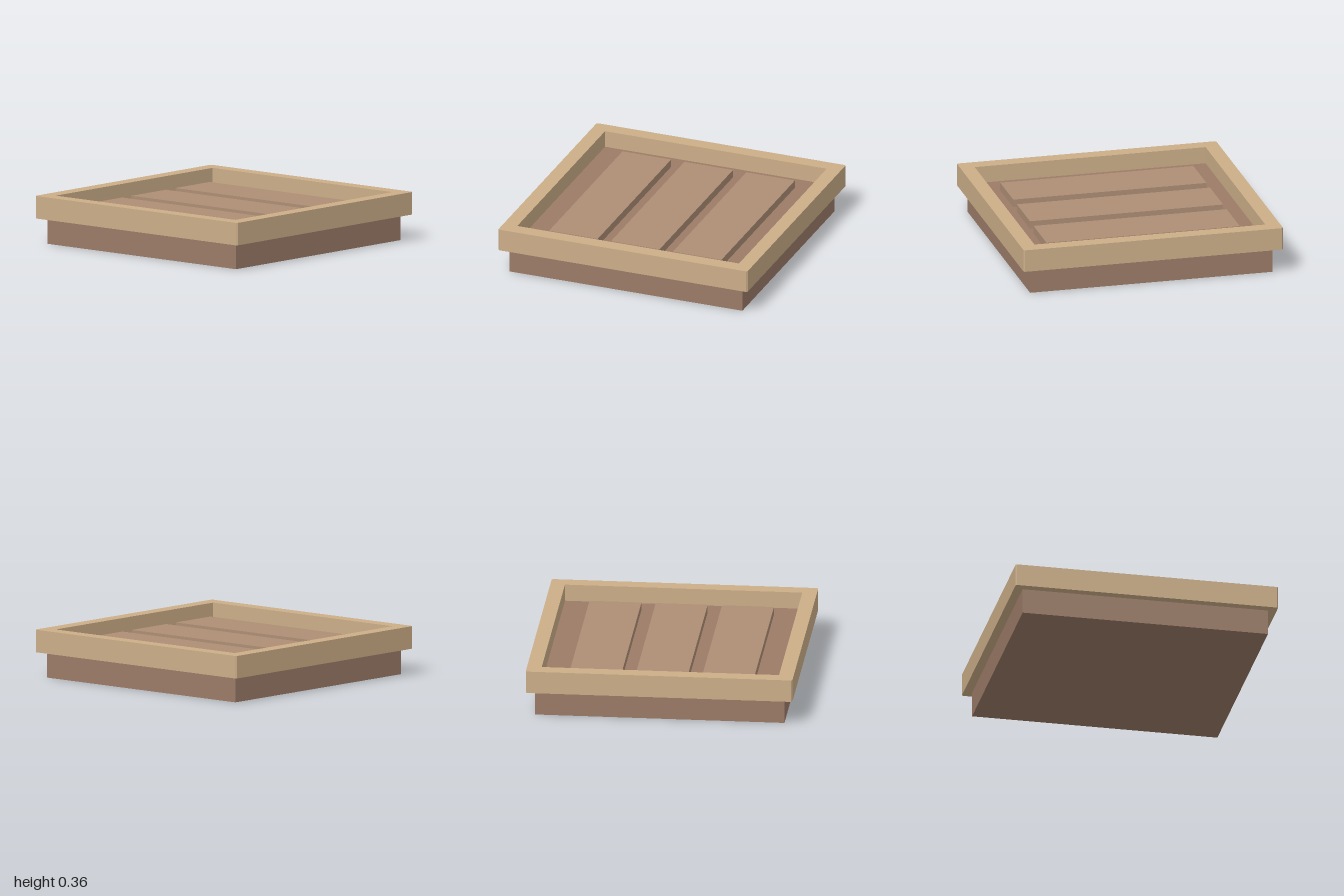
import * as THREE from 'three';

const material = (color) => new THREE.MeshStandardMaterial({ color, flatShading: true });

function addBox(group, name, mat, [w, h, d], [x, y, z]) {
  const mesh = new THREE.Mesh(new THREE.BoxGeometry(w, h, d), mat);
  mesh.name = name;
  mesh.position.set(x, y, z);
  group.add(mesh);
}

export function createModel() {
  const group = new THREE.Group();
  group.name = 'framedTray';
  const base = material(0x9b7b67);
  const slat = material(0xae8e75);
  const wood = material(0xccae88);

  // Solid base; its top is the recessed floor inside the frame
  addBox(group, 'base', base, [1.87, 0.235, 1.87], [0, 0.1175, 0]);

  // Three raised slats running front to back
  for (const i of [-1, 0, 1]) {
    addBox(group, 'slat', slat, [0.39, 0.08, 1.49], [i * 0.497, 0.255, 0]);
  }

  // Square rim with slightly clipped corners and a square opening
  const c = 0.99, r = 0.89;
  const outline = new THREE.Shape([
    [-c, -1], [c, -1], [1, -c], [1, c], [c, 1], [-c, 1], [-1, c], [-1, -c],
  ].map(([x, y]) => new THREE.Vector2(x, y)));
  outline.holes.push(new THREE.Path([
    [-r, -r], [-r, r], [r, r], [r, -r],
  ].map(([x, y]) => new THREE.Vector2(x, y))));
  const rimGeometry = new THREE.ExtrudeGeometry(outline, { depth: 0.17, bevelEnabled: false });
  rimGeometry.rotateX(-Math.PI / 2);
  const rim = new THREE.Mesh(rimGeometry, wood);
  rim.name = 'rim';
  rim.position.y = 0.193;
  group.add(rim);

  return group;
}
